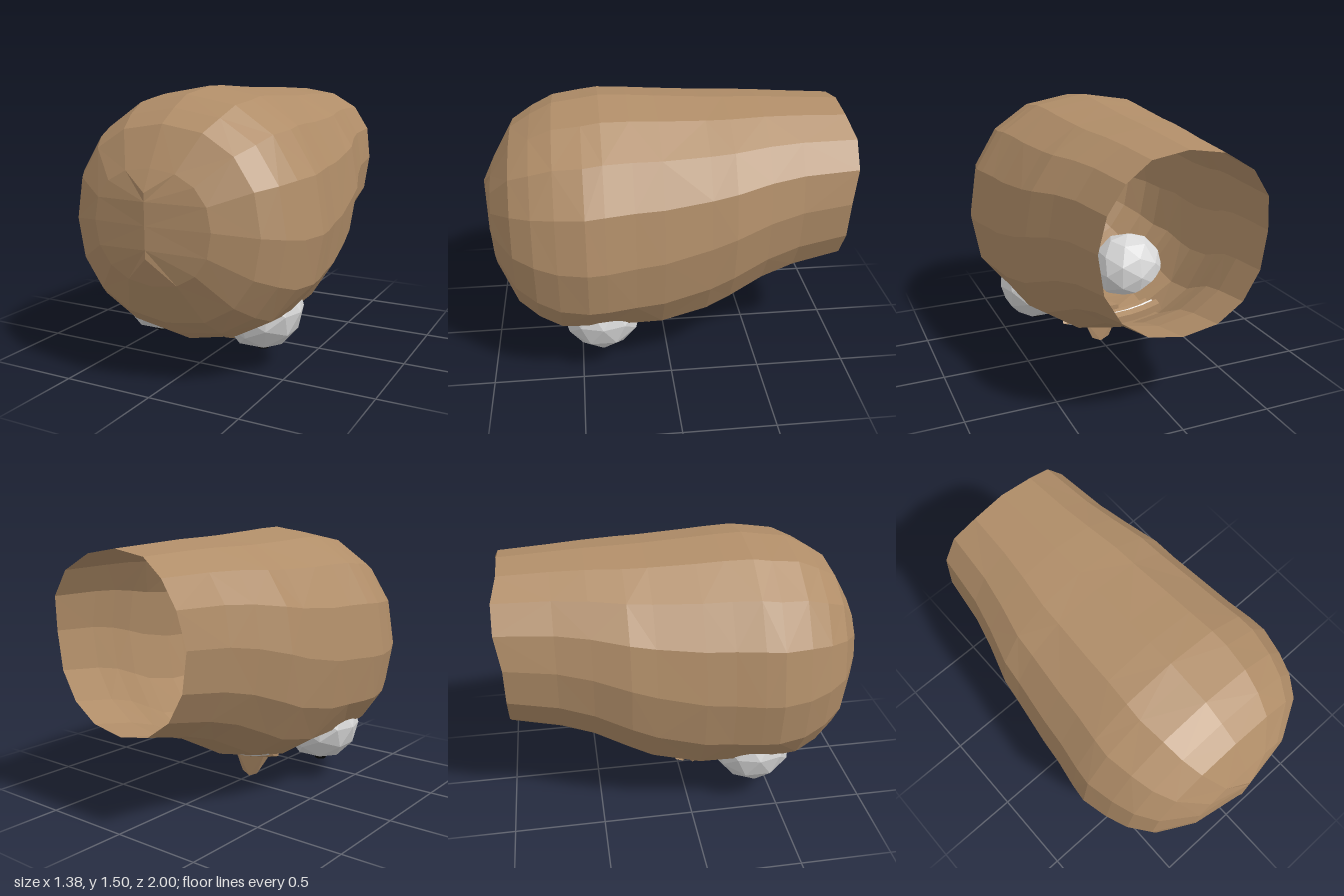
import * as THREE from 'three';
import { ConvexGeometry } from 'three/addons/geometries/ConvexGeometry.js';

const flat = (name, color) => {
  const m = new THREE.MeshStandardMaterial({ color, flatShading: true });
  m.name = name;
  return m;
};

// Cross-sections along z: [z, bottom y, widest y, top y, half width]
const SECTIONS = [
  [1.0, 0.71, 0.87, 1.03, 0],
  [0.945, 0.56, 0.86, 1.14, 0.33],
  [0.83, 0.34, 0.83, 1.34, 0.53],
  [0.72, 0.25, 0.81, 1.41, 0.61],
  [0.6, 0.18, 0.79, 1.47, 0.655],
  [0.45, 0.165, 0.79, 1.49, 0.69],
  [0.35, 0.16, 0.79, 1.505, 0.68],
  [0.2, 0.16, 0.8, 1.5, 0.655],
  [0.05, 0.165, 0.81, 1.49, 0.64],
  [-0.2, 0.22, 0.86, 1.475, 0.605],
  [-0.33, 0.29, 0.9, 1.47, 0.59],
  [-0.52, 0.39, 0.95, 1.465, 0.53],
  [-0.7, 0.45, 0.98, 1.455, 0.485],
  [-0.97, 0.51, 1.0, 1.44, 0.45],
];
const EYE = { x: 0.315, y: 0.345, z: 0.38, r: 0.23 };

// Head and open neck, lofted along z with shallow eye sockets
function headGeometry() {
  const n = 16;
  const pos = [];
  const idx = [];
  const power = (v) => Math.sign(v) * Math.abs(v) ** 0.9;
  SECTIONS.forEach(([z, bottom, mid, top, w], i) => {
    for (let j = 0; j < n; j++) {
      const a = (j / n) * Math.PI * 2;
      const c = power(Math.cos(a));
      const x = w * power(Math.sin(a));
      let y = mid + c * (c > 0 ? top - mid : mid - bottom);
      if (c < 0) {
        const d2 = (Math.abs(x) - EYE.x) ** 2 + (z - EYE.z) ** 2;
        y += 0.09 * Math.exp(-d2 / 0.03);
      }
      // The neck rim juts a little at the upper sides
      const last = i === SECTIONS.length - 1;
      pos.push(x, y, last && Math.abs(y - 1.22) < 0.12 ? -1 : z);
      if (last) continue;
      const p = i * n + j;
      const q = i * n + ((j + 1) % n);
      if ((i + j) % 2) idx.push(p, q, p + n, q, q + n, p + n);
      else idx.push(p, q, q + n, p, q + n, p + n);
    }
  });
  const g = new THREE.BufferGeometry();
  g.setAttribute('position', new THREE.Float32BufferAttribute(pos, 3));
  g.setIndex(idx);
  g.computeVertexNormals();
  return g;
}

// Mouth curve across the underside of the face
const mouthCurve = (z, y) => new THREE.QuadraticBezierCurve3(
  new THREE.Vector3(-0.27, y + 0.06, z),
  new THREE.Vector3(0, y - 0.03, z),
  new THREE.Vector3(0.27, y + 0.06, z),
);

export function createModel() {
  const skin = flat('brown skin', 0xb08d68);
  skin.side = THREE.DoubleSide;
  const white = flat('eye white', 0xd8d8d8);
  const black = flat('pupil black', 0x080808);

  const group = new THREE.Group();
  const add = (name, geometry, material) => {
    const mesh = new THREE.Mesh(geometry, material);
    mesh.name = name;
    group.add(mesh);
    return mesh;
  };

  add('head', headGeometry(), skin);

  // Eyes and pupils, looking down
  for (const [side, s] of [['left', 1], ['right', -1]]) {
    add(`${side}Eye`, new THREE.IcosahedronGeometry(EYE.r, 1), white)
      .position.set(s * EYE.x, EYE.y, EYE.z);
    const pupil = add(`${side}Pupil`, new THREE.CylinderGeometry(0.052, 0.03, 0.03, 8), black);
    pupil.position.set(s * 0.325, 0.127, 0.375);
  }

  // Wedge nose with a steep underside
  const nose = [[0, 0.005, 0.08], [0, 0.05, 0.2], [0, 0.14, 0.36], [0, 0.22, 0.36], [0, 0.22, 0.08]];
  for (const s of [-1, 1]) {
    nose.push([s * 0.055, 0.03, 0.085], [s * 0.12, 0.18, 0.08], [s * 0.12, 0.23, 0.08],
      [s * 0.04, 0.08, 0.2], [s * 0.05, 0.2, 0.35]);
  }
  add('nose', new ConvexGeometry(nose.map((p) => new THREE.Vector3(...p))), skin);

  // Lips with a strip of teeth between them
  add('upperLip', new THREE.TubeGeometry(mouthCurve(-0.025, 0.19), 6, 0.04, 5), skin);
  add('lowerLip', new THREE.TubeGeometry(mouthCurve(-0.165, 0.245), 6, 0.036, 5), skin);
  add('teeth', new THREE.TubeGeometry(mouthCurve(-0.095, 0.217), 6, 0.036, 4), white);

  return group;
}
